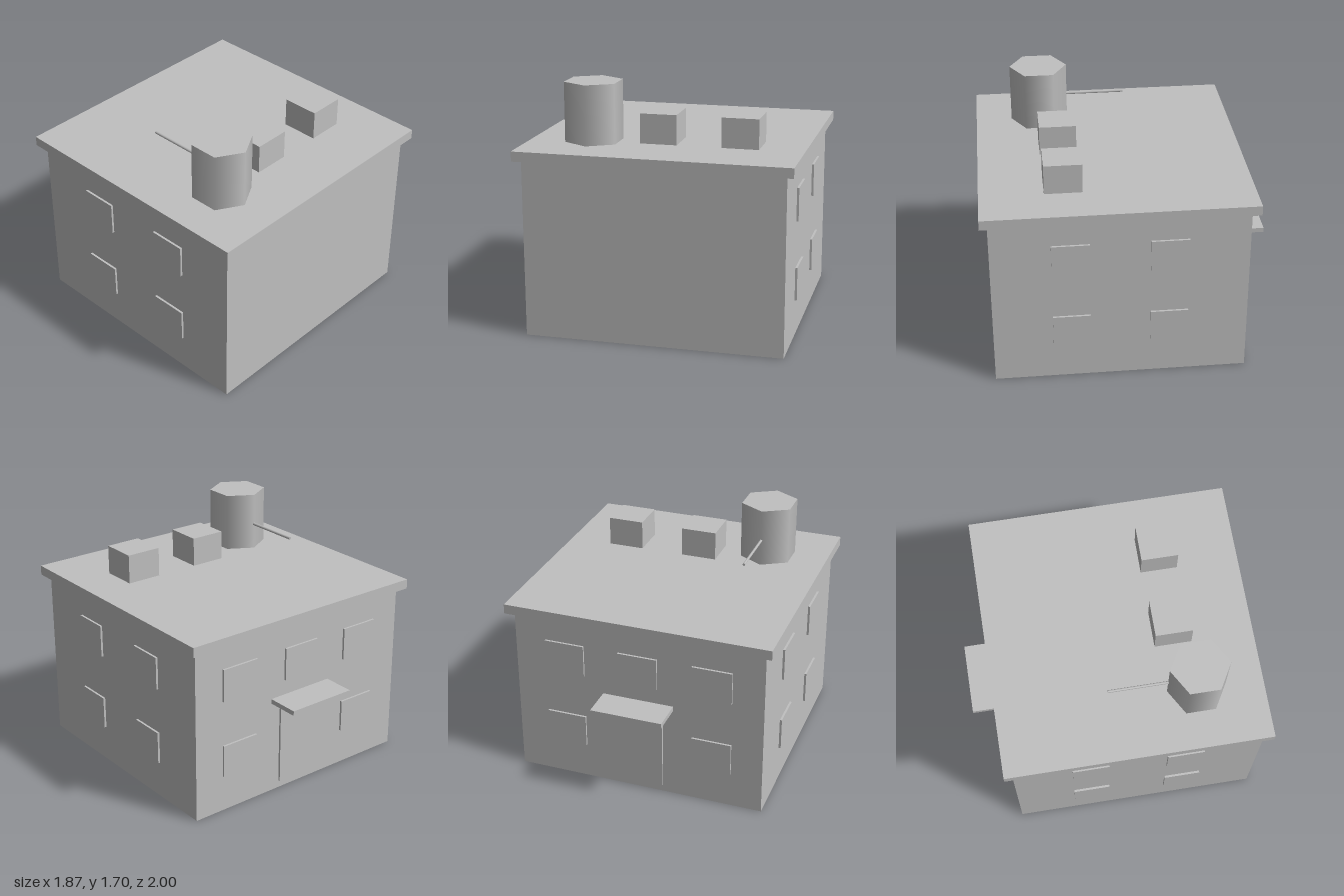
import * as THREE from 'three';

export function createModel() {
  const group = new THREE.Group();
  const grey = new THREE.MeshStandardMaterial({ color: 0xc0c0c0 });
  grey.name = 'plain grey';

  const add = (name, geometry, x, y, z) => {
    const mesh = new THREE.Mesh(geometry, grey);
    mesh.name = name;
    mesh.position.set(x, y, z);
    group.add(mesh);
    return mesh;
  };
  // Box given by its lower and upper limits on each axis
  const box = (name, [x0, x1], [y0, y1], [z0, z1]) =>
    add(name, new THREE.BoxGeometry(x1 - x0, y1 - y0, z1 - z0),
      (x0 + x1) / 2, (y0 + y1) / 2, (z0 + z1) / 2);

  // Main block and overhanging flat roof
  box('walls', [-0.885, 0.885], [0, 1.222], [-0.772, 0.95]);
  box('roof', [-0.935, 0.935], [1.222, 1.29], [-0.825, 1]);

  // Two rows of windows on both sides and the back; the door takes the lower middle place
  [[0.26, 0.49], [0.815, 1.045]].forEach((rows, floor) => {
    for (const z of [0.42, -0.238]) {
      const span = [z - 0.127, z + 0.127];
      box('leftWindow', [0.88, 0.9], rows, span);
      box('rightWindow', [-0.9, -0.88], rows, span);
    }
    for (const x of [-0.525, 0, 0.525]) {
      if (floor === 0 && x === 0) continue;
      box('backWindow', [x - 0.14, x + 0.14], rows, [-0.787, -0.767]);
    }
  });

  // Entrance
  box('door', [-0.178, 0.178], [0.053, 0.612], [-0.787, -0.767]);
  box('canopy', [-0.252, 0.252], [0.671, 0.704], [-1, -0.767]);

  // Rooftop units
  for (const x of [-0.053, 0.505]) {
    box('roofUnit', [x - 0.126, x + 0.126], [1.285, 1.495], [0.315, 0.57]);
  }

  // Six-sided water tank with smooth sides, and its outlet pipe
  add('waterTank', new THREE.CylinderGeometry(0.202, 0.202, 0.415, 6), -0.507, 1.4925, 0.544);
  const pipe = new THREE.CylinderGeometry(0.01, 0.01, 0.604, 6);
  pipe.rotateY(Math.PI / 2).rotateX(Math.PI / 2);
  add('tankPipe', pipe, -0.507, 1.476, 0.237);

  return group;
}
